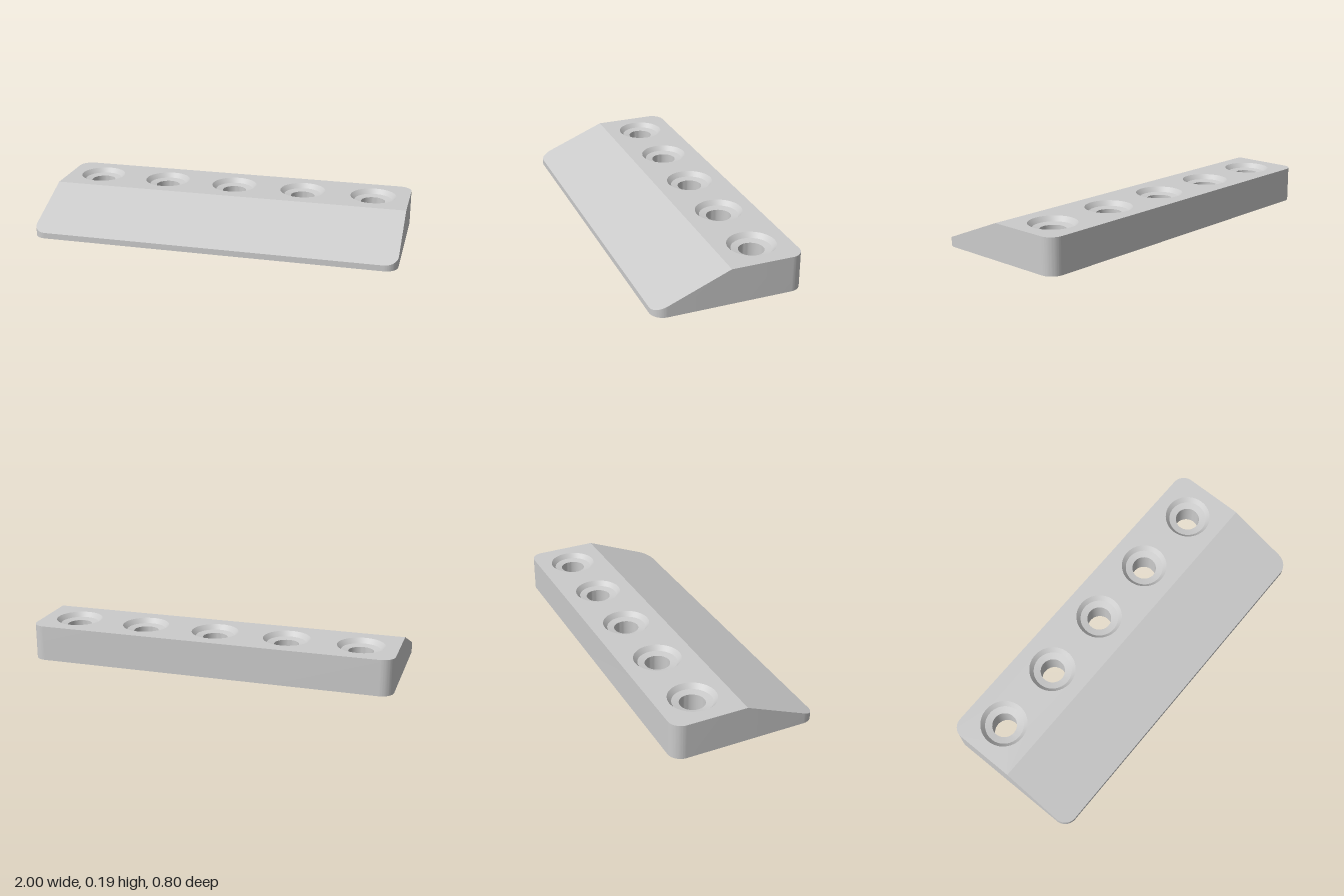
import * as THREE from 'three';
import { toCreasedNormals } from 'three/addons/utils/BufferGeometryUtils.js';

const H = 0.195, FRONT_H = 0.032, HALF_D = 0.4, WALL = 0.037, SKIN = 0.04;
const RIB_Y = 0.03, RIB_W = 0.025, HOLE_Z = -0.2;
const HOLES = [-0.8, -0.4, 0, 0.4, 0.8];

// height of the outer top and of the inner ceiling at a given z
const topY = z => (z <= 0 ? H : H - (H - FRONT_H) * z / HALF_D);
const ceilingY = z => topY(z) - SKIN;

export function createModel() {
  const group = new THREE.Group();
  const material = new THREE.MeshStandardMaterial({ color: 0xcccccc });
  const add = (name, geometry) => {
    const mesh = new THREE.Mesh(geometry, material);
    mesh.name = name;
    group.add(mesh);
    return mesh;
  };

  // rear half of a rounded rectangle, counter-clockwise, in (x, -z)
  const rearHalf = (w, d, r) => {
    const s = new THREE.Shape();
    s.moveTo(w, 0);
    s.lineTo(w, d - r);
    s.absarc(w - r, d - r, r, 0, Math.PI / 2, false);
    s.lineTo(-w + r, d);
    s.absarc(-w + r, d - r, r, Math.PI / 2, Math.PI, false);
    s.lineTo(-w, 0);
    const pts = s.getPoints(10);
    return pts.filter((p, i) => i === 0 || p.distanceTo(pts[i - 1]) > 1e-5);
  };
  const turned = pts => pts.map(p => new THREE.Vector2(-p.x, -p.y));
  const fullLoop = half => [...half.slice(0, -1), ...turned(half).slice(0, -1)];

  // flat shape draped over a height rule, facing up or down
  const sheet = (pts, holes, height, down) => {
    const shape = new THREE.Shape(pts);
    shape.holes = holes;
    const g = new THREE.ShapeGeometry(shape, 24);
    g.rotateX(-Math.PI / 2);
    const p = g.attributes.position;
    for (let i = 0; i < p.count; i++) p.setY(i, height(p.getZ(i)));
    if (down) g.index.array.reverse();
    g.computeVertexNormals();
    return g;
  };

  // upright band around a loop, from the ground to a height rule
  const band = (loop, height) => {
    const v = [];
    loop.forEach((a, i) => {
      const b = loop[(i + 1) % loop.length];
      const a0 = [a.x, 0, -a.y], b0 = [b.x, 0, -b.y];
      const a1 = [a.x, height(-a.y), -a.y], b1 = [b.x, height(-b.y), -b.y];
      v.push(...a0, ...b0, ...b1, ...a0, ...b1, ...a1);
    });
    const g = new THREE.BufferGeometry();
    g.setAttribute('position', new THREE.Float32BufferAttribute(v, 3));
    return toCreasedNormals(g, 0.5);
  };

  const circles = r => HOLES.map(x => new THREE.Path().absarc(x, -HOLE_Z, r, 0, Math.PI * 2, true));
  const outer = rearHalf(1, HALF_D, 0.07);
  const inner = rearHalf(1 - WALL, HALF_D - WALL, 0.035);

  // hollow wedge shell
  add('topDeck', sheet(outer, circles(0.127), topY, false));
  add('frontSlope', sheet(turned(outer), [], topY, false));
  add('outerWall', band(fullLoop(outer), topY));
  add('innerWall', band(fullLoop(inner).reverse(), ceilingY));
  add('deckUnderside', sheet(inner, circles(0.09), ceilingY, true));
  add('slopeUnderside', sheet(turned(inner), [], ceilingY, true));
  add('bottomRim', sheet(fullLoop(outer), [new THREE.Path(fullLoop(inner))], () => 0, true));

  // countersunk screw bosses
  const profile = [[0.127, H], [0.105, 0.17], [0.067, 0.163], [0.067, RIB_Y], [0.1, RIB_Y], [0.1, H - SKIN]]
    .map(([r, y]) => new THREE.Vector2(r, y));
  const bossGeometry = toCreasedNormals(new THREE.LatheGeometry(profile, 48), 0.4);
  for (const x of HOLES) add('screwBoss', bossGeometry).position.set(x, 0, HOLE_Z);

  // straight rib under the flat deck between two points
  const rib = (name, x1, z1, x2, z2) => {
    const height = H - SKIN + 0.004 - RIB_Y;
    const mesh = add(name, new THREE.BoxGeometry(Math.hypot(x2 - x1, z2 - z1), height, RIB_W));
    mesh.position.set((x1 + x2) / 2, RIB_Y + height / 2, (z1 + z2) / 2);
    mesh.rotation.y = -Math.atan2(z2 - z1, x2 - x1);
  };

  // tapering rib under the slope
  const taper = new THREE.Shape([[0, RIB_Y], [0.3, RIB_Y], [0.3, 0.038], [0, 0.16]]
    .map(([z, y]) => new THREE.Vector2(z, y)));
  const taperGeometry = new THREE.ExtrudeGeometry(taper, { depth: RIB_W, bevelEnabled: false });
  taperGeometry.translate(0, 0, -RIB_W / 2);
  taperGeometry.rotateY(-Math.PI / 2);

  // Y-shaped rib groups between neighbouring bosses
  const gap = 0.09, diagonal = gap * Math.SQRT1_2;
  for (const x of [-0.6, -0.2, 0.2, 0.6]) {
    add('slopeRib', taperGeometry).position.x = x;
    rib('crossRib', x - 0.2 + gap, HOLE_Z, x + 0.2 - gap, HOLE_Z);
    for (const s of [-1, 1]) {
      rib('diagonalRib', x + s * (0.2 - diagonal), HOLE_Z + diagonal, x, 0);
    }
  }
  // end ribs to the side walls
  for (const s of [-1, 1]) rib('endRib', s * (0.8 + gap), HOLE_Z, s * 0.97, HOLE_Z);

  return group;
}
